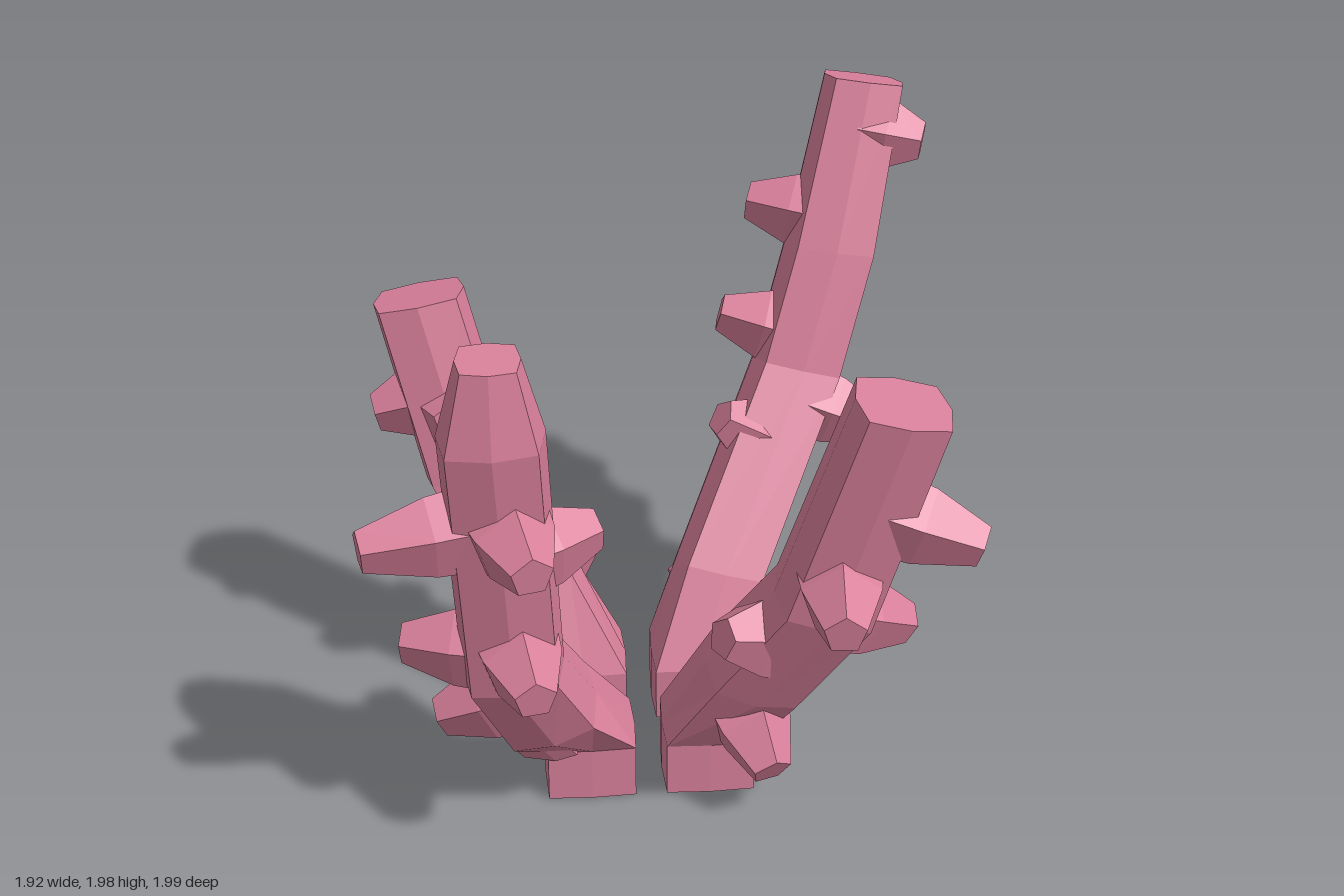
import * as THREE from 'three';

const UP = new THREE.Vector3(0, 1, 0);
const pink = new THREE.MeshStandardMaterial({ color: 0xd9809b, flatShading: true });

// Closed faceted tube through a list of rings (counter-clockwise about the path)
function loft(rings) {
  const n = rings[0].length, pos = [];
  const tri = (...corners) => corners.forEach((c) => pos.push(c.x, c.y, c.z));
  for (let k = 0; k < rings.length - 1; k++) {
    for (let i = 0; i < n; i++) {
      const j = (i + 1) % n, p = rings[k], q = rings[k + 1];
      tri(p[i], p[j], q[j]);
      tri(p[i], q[j], q[i]);
    }
  }
  const first = rings[0], last = rings[rings.length - 1];
  for (let i = 1; i < n - 1; i++) {
    tri(first[0], first[i + 1], first[i]);
    tri(last[0], last[i], last[i + 1]);
  }
  const g = new THREE.BufferGeometry();
  g.setAttribute('position', new THREE.Float32BufferAttribute(pos, 3));
  g.computeVertexNormals();
  return g;
}

// Ring across a direction; odd corners are pulled in by "pinch" to make a bevelled square
function ring(center, dir, side, sides, r, pinch = 1) {
  const t = dir.clone().normalize();
  const s = side.clone().addScaledVector(t, -side.dot(t)).normalize();
  const n = s.clone().cross(t);
  return Array.from({ length: sides }, (_, i) => {
    const a = (i / sides) * Math.PI * 2, q = i % 2 ? r * pinch : r;
    return center.clone().addScaledVector(n, q * Math.cos(a)).addScaledVector(s, q * Math.sin(a));
  });
}

// Stem: a level square foot, then bevelled rings leaning along the path to a narrower crown
function stem(path, crown) {
  const top = path.length - 1;
  const lean = path[top].clone().sub(path[0]);
  const side = new THREE.Vector3(-Math.sign(lean.z), 0, Math.sign(lean.x));
  return loft(path.map((p, i) => {
    if (i < 2) return ring(p, UP, side, 8, 0.198, 0.74);
    const dir = path[Math.min(top, i + 1)].clone().sub(path[i - 1]).normalize().addScaledVector(UP, 0.5);
    return ring(p, dir, side, 8, i === top ? crown : 0.185, 0.84);
  }));
}

// Knob: tapered five-sided stub from the nearest point of the stem to its tip
function knob(path, tip) {
  const roots = path.slice(1).map((p, i) =>
    new THREE.Line3(path[i], p).closestPointToPoint(tip, true, new THREE.Vector3()));
  const root = roots.reduce((a, b) => (b.distanceTo(tip) < a.distanceTo(tip) ? b : a));
  const dir = tip.clone().sub(root);
  const side = new THREE.Vector3(-dir.z, 0, dir.x);
  const at = (f, r) => ring(root.clone().addScaledVector(dir, f), dir, side, 5, r);
  return loft([at(0.1, 0.14), at(0.5, 0.125), at(1, 0.066)]);
}

// Branch: the foot sits in the quadrant the spine leans towards
function branch(name, crown, spine, tips) {
  const points = spine.map((p) => new THREE.Vector3(...p));
  const footX = -0.09 + 0.19 * Math.sign(points[0].x);
  const footZ = 0.115 + 0.215 * Math.sign(points[0].z);
  const foot = [0, 0.18].map((y) => new THREE.Vector3(footX, y, footZ));
  const path = [...foot, ...points];

  const group = new THREE.Group();
  group.name = name;
  const add = (part, geometry) => {
    const mesh = new THREE.Mesh(geometry, pink);
    mesh.name = part;
    group.add(mesh);
  };
  add('stem', stem(path, crown));
  tips.forEach((tip) => add('knob', knob(path, new THREE.Vector3(...tip))));
  return group;
}

export function createModel() {
  const model = new THREE.Group();
  model.name = 'coral';
  model.add(
    branch('backLeftBranch', 0.16,
      [[0.2, 0.42, -0.23], [0.5, 1, -0.6], [0.62, 1.4, -0.71], [0.74, 1.94, -0.86]],
      [[0.12, 0.24, -0.52], [0.41, 0.25, -0.06], [0.78, 0.82, -0.46], [0.22, 0.9, -0.42],
        [0.62, 1.04, -0.91], [0.24, 1.18, -0.67], [0.35, 1.53, -0.82], [0.93, 1.75, -0.75]]),
    branch('backRightBranch', 0.18,
      [[-0.44, 0.45, -0.2], [-0.63, 0.8, -0.33], [-0.78, 1.38, -0.44]],
      [[-0.24, 0.48, -0.39], [-0.55, 0.55, -0.56], [-0.82, 0.56, -0.2], [-0.42, 0.66, -0.08],
        [-0.82, 0.92, -0.66], [-0.68, 1.05, -0.16], [-0.94, 1, -0.36]]),
    branch('frontRightBranch', 0.11,
      [[-0.41, 0.35, 0.46], [-0.52, 0.6, 0.59], [-0.56, 1.46, 0.73], [-0.56, 1.7, 0.76]],
      [[-0.52, 0.19, 0.4], [-0.75, 0.37, 0.51], [-0.6, 0.61, 0.17], [-0.85, 0.66, 0.53],
        [-0.46, 0.68, 0.92], [-0.26, 1.04, 0.55], [-0.95, 1.12, 0.77], [-0.46, 1.13, 0.98]]),
    branch('frontLeftBranch', 0.17,
      [[0.23, 0.46, 0.47], [0.42, 0.8, 0.62], [0.61, 1.5, 0.73]],
      [[0.27, 0.2, 0.66], [0.35, 0.6, 0.21], [0.7, 0.64, 0.52], [0.11, 0.7, 0.66],
        [0.43, 0.88, 0.96], [0.86, 1.05, 0.77], [0.62, 1.17, 0.39]]),
  );
  return model;
}
